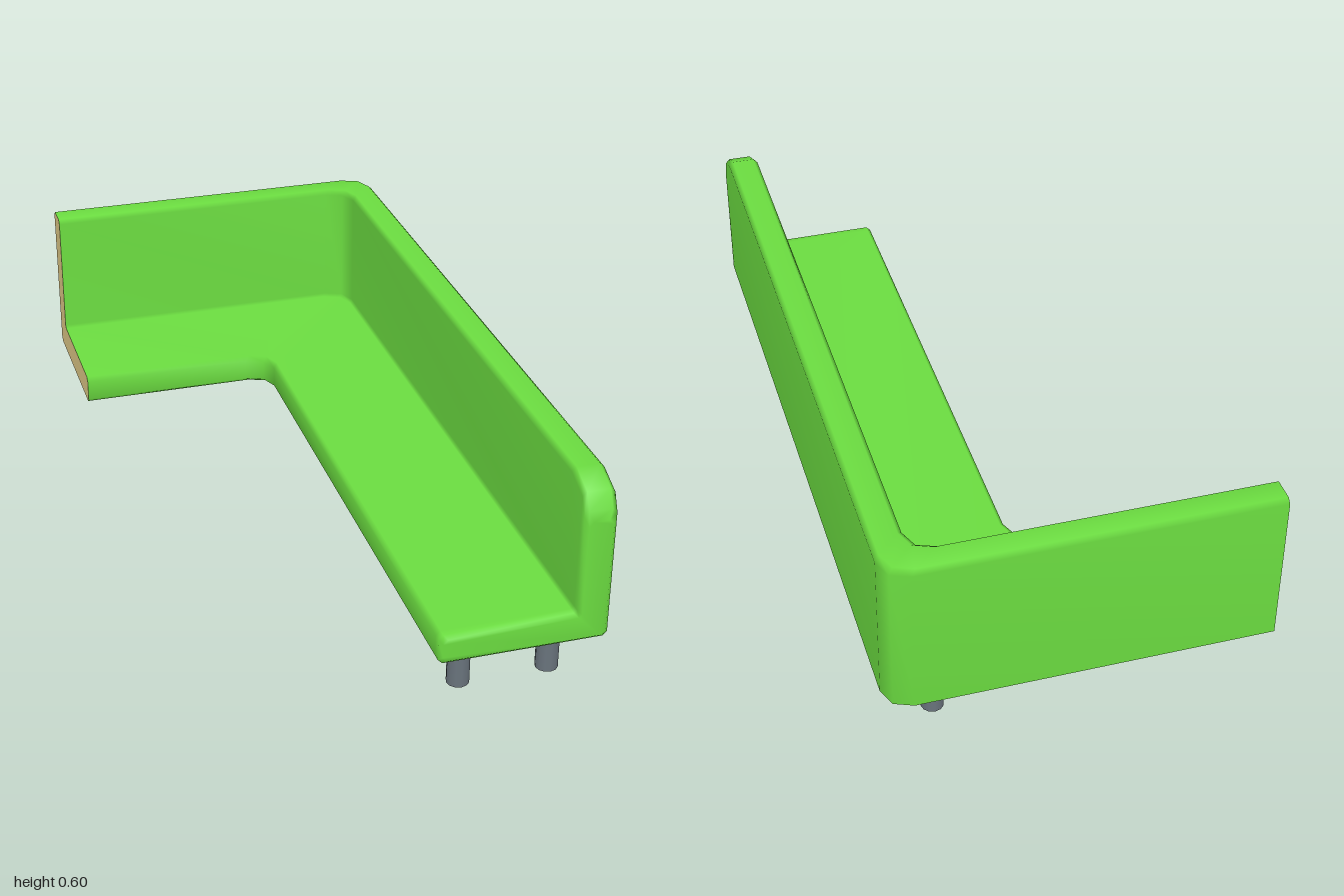
import * as THREE from 'three';

// Bench cross-section: [distance in from the outer side, height]
const B = 0.012;
const PROFILE = [
  [B, 0.158], [0, 0.158 + B], [0, 0.6 - B], [B, 0.6],
  [0.085 - B, 0.6], [0.085, 0.6 - B], [0.085, 0.248], [0.093, 0.24],
  [0.443 - B, 0.24], [0.443, 0.24 - B], [0.443, 0.158 + B], [0.443 - B, 0.158],
];

// Stations along the L-shaped run; each maps a profile point into space
const cutEnd = (d, y) => [-0.5, y, -1 + d];
const corner = (a, c) => (d, y) => [0.5 - d - a, y, -1 + d + c];
const arm = (z, drop = 0, inset = 0) => (d, y, i) => [
  0.5 - d + (i < 4 ? -inset : inset),
  y - (y > 0.3 ? drop : 0) + (y < 0.2 ? inset : -inset),
  z,
];
const STATIONS = [
  cutEnd, corner(0.07, 0), corner(0.02, 0.02), corner(0, 0.07),
  arm(0.9), arm(0.97, 0.03), arm(0.99, 0.075), arm(1, 0.09, 0.01),
];

const place = (station) => PROFILE.map(([d, y], i) => station(d, y, i));

function capFaces() {
  const outline = PROFILE.map(([d, y]) => new THREE.Vector2(-d, y));
  return THREE.ShapeUtils.triangulateShape(outline, []);
}

function makeGeometry(points, index) {
  const geo = new THREE.BufferGeometry();
  geo.setAttribute('position', new THREE.Float32BufferAttribute(points.flat(), 3));
  geo.setIndex(index);
  geo.computeVertexNormals();
  return geo;
}

export function createModel() {
  const green = new THREE.MeshStandardMaterial({ name: 'green upholstery', color: 0x6bdc40 });
  const wood = new THREE.MeshStandardMaterial({ name: 'pale wood', color: 0xe0ca88 });
  const metal = new THREE.MeshStandardMaterial({ name: 'grey metal', color: 0x69737c });

  const model = new THREE.Group();
  model.name = 'cornerBench';
  const add = (name, geo, mat) => {
    const mesh = new THREE.Mesh(geo, mat);
    mesh.name = name;
    model.add(mesh);
    return mesh;
  };

  // Seat and backrest, one sweep around the corner, closed at the rounded end
  const n = PROFILE.length;
  const index = [];
  for (let s = 0; s < STATIONS.length - 1; s++) {
    for (let j = 0; j < n; j++) {
      const a = s * n + j, b = s * n + (j + 1) % n;
      index.push(a, b, b + n, a, b + n, a + n);
    }
  }
  const last = (STATIONS.length - 1) * n;
  for (const f of capFaces()) index.push(...f.map((i) => i + last));
  add('seatAndBackrest', makeGeometry(STATIONS.flatMap(place), index), green);

  // Exposed section at the cut end
  const cutIndex = capFaces().flatMap(([a, b, c]) => [a, c, b]);
  add('cutEndFace', makeGeometry(place(cutEnd), cutIndex), wood);

  // Legs: a pair at the rounded end, a pair on the corner diagonal
  const legGeo = new THREE.CylinderGeometry(0.03, 0.03, 0.16, 12);
  for (const [x, z] of [[0.16, 0.865], [0.4, 0.865], [0.175, -0.675], [0.348, -0.845]]) {
    add('leg', legGeo, metal).position.set(x, 0.08, z);
  }
  return model;
}
